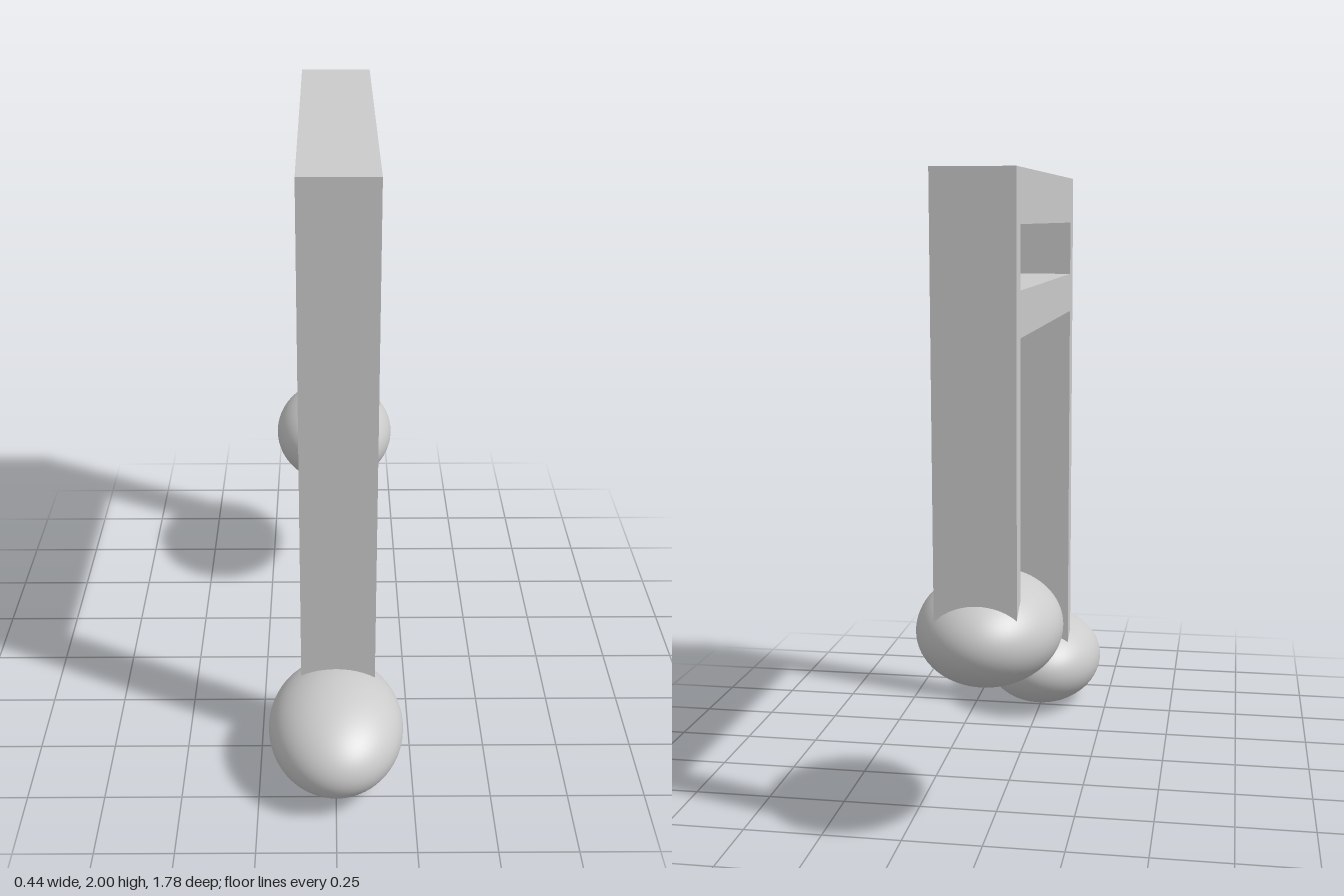
import * as THREE from 'three';

const material = new THREE.MeshStandardMaterial({ color: 0xcccccc });

const points = (list) => list.map(([z, y]) => new THREE.Vector2(z, y));

export function createModel() {
  const group = new THREE.Group();

  // Stems and the two beams: one side outline (z, y) with a window, extruded along x
  const outline = new THREE.Shape(points([
    [0.51, 0.18], [0.51, 2], [-0.805, 2], [-0.805, 0.66],
    [-0.74, 0.66], [-0.74, 1.53], [0.435, 1.53], [0.435, 0.18],
  ]));
  outline.holes.push(new THREE.Path(points([
    [0.435, 1.663], [-0.74, 1.663], [-0.74, 1.845], [0.435, 1.845],
  ])));
  const frameGeometry = new THREE.ExtrudeGeometry(outline, { depth: 0.243, bevelEnabled: false });
  frameGeometry.rotateY(-Math.PI / 2);
  const frame = new THREE.Mesh(frameGeometry, material);
  frame.name = 'stemsAndBeams';
  frame.position.x = 0.129;
  group.add(frame);

  // Note heads: smooth ellipsoids swallowing the stem ends
  const headGeometry = new THREE.SphereGeometry(1, 64, 40).scale(0.22, 0.168, 0.291);
  for (const [name, y, z] of [['frontNoteHead', 0.173, 0.6], ['backNoteHead', 0.648, -0.598]]) {
    const head = new THREE.Mesh(headGeometry, material);
    head.name = name;
    head.position.set(0, y, z);
    group.add(head);
  }

  return group;
}
